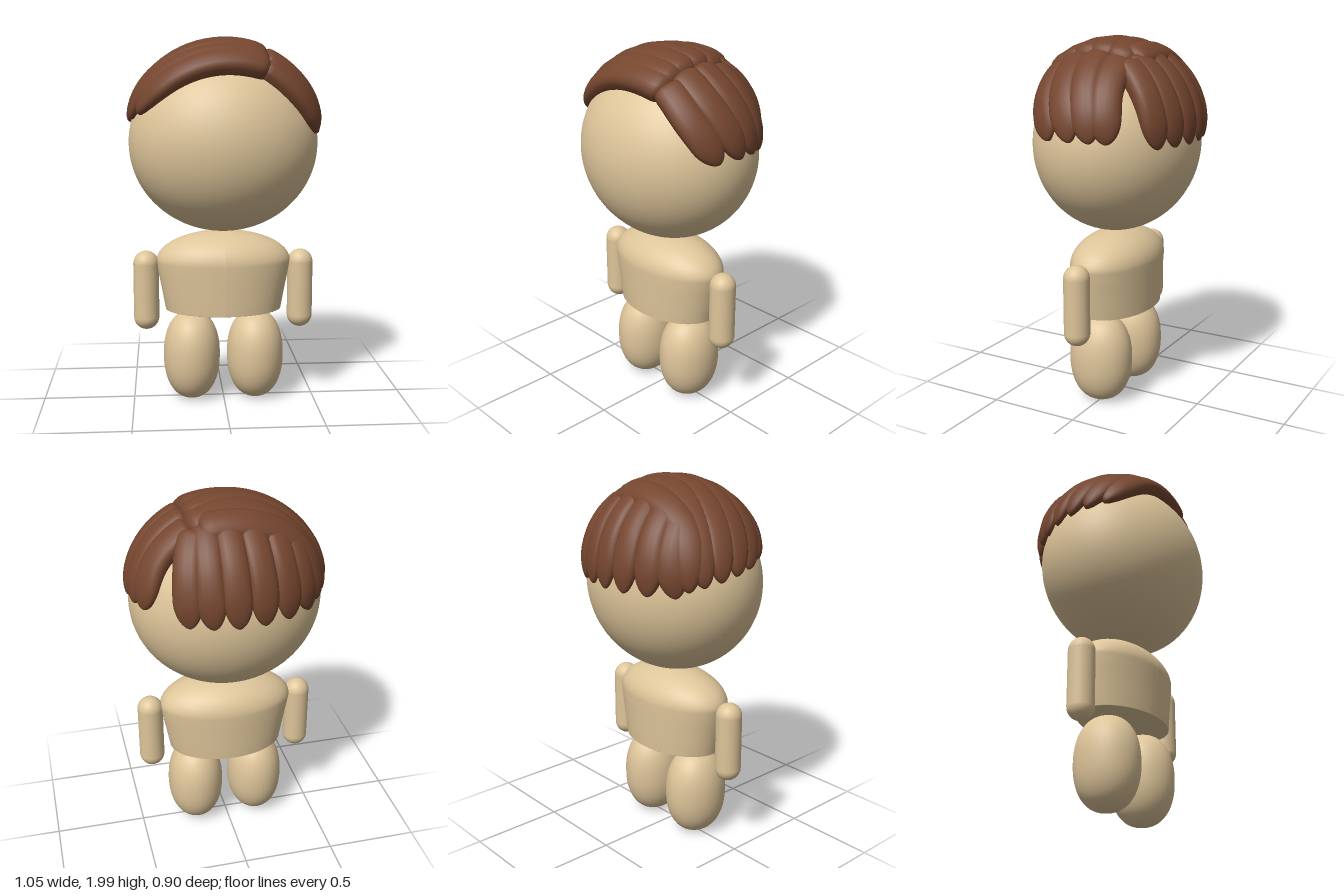
import * as THREE from 'three';

const skin = new THREE.MeshStandardMaterial({ color: 0xdec59a });
const hairMat = new THREE.MeshStandardMaterial({ color: 0x75462f });

const HEAD = new THREE.Vector3(0, 1.43, 0);
const R = new THREE.Vector3(0.51, 0.48, 0.435);

function add(parent, name, geometry, material = skin) {
  const mesh = new THREE.Mesh(geometry, material);
  mesh.name = name;
  parent.add(mesh);
  return mesh;
}

// Point on top of the head above (x, z), relative to the head centre
function crown(x, z) {
  return new THREE.Vector3(x, R.y * Math.sqrt(Math.max(0, 1 - (x / R.x) ** 2 - (z / R.z) ** 2)), z);
}
const side = (x, y, z) => new THREE.Vector3(x, y - HEAD.y, z);
const project = (p) => p.divideScalar(Math.hypot(p.x / R.x, p.y / R.y, p.z / R.z));
const normalAt = (p) => new THREE.Vector3(p.x / R.x ** 2, p.y / R.y ** 2, p.z / R.z ** 2).normalize();

// One lock of hair: a flattened oval swept along the head, blunt root, tapered tip
function lockGeometry(points, width, h0, h1) {
  const curve = new THREE.CatmullRomCurve3(points);
  const rows = 32, cols = 20, pos = [], idx = [];
  for (let i = 0; i <= rows; i++) {
    const t = (1 - Math.cos((i / rows) * Math.PI)) / 2;
    const p = project(curve.getPointAt(t));
    const a = project(curve.getPointAt(Math.max(0, t - 0.01)));
    const b = project(curve.getPointAt(Math.min(1, t + 0.01)));
    const across = b.sub(a).cross(normalAt(p)).normalize();
    const root = t < 0.08 ? Math.sqrt(1 - (1 - t / 0.08) ** 2) : 1;
    const tip = t > 0.7 ? Math.pow(Math.max(0, 1 - ((t - 0.7) / 0.3) ** 2), 0.6) : 1;
    const h = (h0 + (h1 - h0) * t * t) * root * Math.sqrt(tip);
    for (let j = 0; j < cols; j++) {
      const c = Math.cos((j / cols) * 2 * Math.PI), s = Math.sin((j / cols) * 2 * Math.PI);
      const q = project(p.clone().addScaledVector(across, width * root * tip * Math.sign(c) * Math.abs(c) ** 0.8));
      q.addScaledVector(normalAt(q), h * Math.sign(s) * Math.abs(s) ** 0.7).add(HEAD);
      pos.push(q.x, q.y, q.z);
      if (i < rows) {
        const k = (j + 1) % cols, r0 = i * cols, r1 = r0 + cols;
        idx.push(r0 + j, r1 + j, r1 + k, r0 + j, r1 + k, r0 + k);
      }
    }
  }
  const g = new THREE.BufferGeometry();
  g.setAttribute('position', new THREE.Float32BufferAttribute(pos, 3));
  g.setIndex(idx);
  g.computeVertexNormals();
  return g;
}

function buildHair() {
  const hair = new THREE.Group();
  hair.name = 'hair';

  // Long locks combed from the parting over to the right: root z, middle z, tip
  [
    [0.20, 0.225, -0.45, 1.59, 0.15],
    [0.15, 0.17, -0.48, 1.56, 0.06],
    [0.07, 0.09, -0.49, 1.54, -0.03],
    [-0.03, 0.01, -0.48, 1.52, -0.12],
    [-0.12, -0.08, -0.45, 1.5, -0.2],
  ].forEach(([z0, z1, x, y, z], i) => add(hair, 'rightSweepLock' + i,
    lockGeometry([crown(0.22, z0), crown(-0.08, z1), side(x, y, z)], 0.08, 0.085, 0.045), hairMat));

  // Raised lock wrapping from the crown to the back right
  add(hair, 'crownLock',
    lockGeometry([crown(0.18, -0.16), crown(-0.1, -0.185), crown(-0.3, -0.2), side(-0.4, 1.48, -0.26)], 0.085, 0.095, 0.05), hairMat);

  // Short locks falling from the parting to the left
  [
    [0.195, 0.20, 0.12],
    [0.1, 0.09, -0.01],
    [-0.01, -0.03, -0.11],
    [-0.12, -0.14, -0.2],
  ].forEach(([z0, z1, z], i) => add(hair, 'leftLock' + i,
    lockGeometry([crown(0.19, z0), crown(0.36, z1), side(0.49, 1.49, z)], 0.08, 0.075, 0.03), hairMat));

  // Locks hanging down the back: root x, middle x, tip x, tip z
  [
    [-0.24, -0.31, -0.35, -0.3],
    [-0.17, -0.2, -0.23, -0.38],
    [-0.07, -0.08, -0.1, -0.42],
    [0.04, 0.04, 0.03, -0.43],
    [0.13, 0.15, 0.15, -0.41],
    [0.19, 0.25, 0.26, -0.37],
  ].forEach(([x0, x1, x, z], i) => add(hair, 'backLock' + i,
    lockGeometry([crown(x0, -0.15), crown(x1, -0.29), side(x, 1.45, z)], 0.075, 0.08, 0.025), hairMat));
  return hair;
}

// Torso: widening trunk with a domed top, stretched sideways
function torsoGeometry() {
  const pts = [[0, 0.51], [0.207, 0.51], [0.21, 0.512], [0.212, 0.6], [0.215, 0.7]];
  for (let i = 0; i <= 12; i++) {
    const a = (i / 12) * Math.PI / 2;
    pts.push([0.217 * Math.cos(a), 0.78 + 0.17 * Math.sin(a)]);
  }
  const g = new THREE.LatheGeometry(pts.map(([r, y]) => new THREE.Vector2(r, y)), 56);
  const p = g.attributes.position;
  for (let i = 0; i < p.count; i++) {
    const t = Math.min(1, (p.getY(i) - 0.51) / 0.27);
    p.setX(i, p.getX(i) * (1.52 + 0.185 * t));
  }
  g.computeVertexNormals();
  return g;
}

// Leg: a slightly squared-off egg
function legGeometry() {
  const pts = [];
  for (let i = 0; i <= 28; i++) {
    const a = (i / 28) * Math.PI - Math.PI / 2;
    const s = Math.sin(a);
    pts.push(new THREE.Vector2(Math.max(0, Math.cos(a)) ** 0.85, Math.sign(s) * Math.abs(s) ** 0.9));
  }
  return new THREE.LatheGeometry(pts, 36).scale(0.157, 0.247, 0.177);
}

export function createModel() {
  const model = new THREE.Group();
  model.name = 'figure';

  const head = add(model, 'head', new THREE.SphereGeometry(1, 64, 48).scale(R.x, R.y, R.z));
  head.position.copy(HEAD);
  model.add(buildHair());
  add(model, 'torso', torsoGeometry());

  for (const s of [1, -1]) {
    const label = s > 0 ? 'left' : 'right';
    const arm = add(model, label + 'Arm', new THREE.CapsuleGeometry(0.07, 0.3, 12, 28));
    arm.position.set(s * 0.426, 0.62, 0.01);
    const leg = add(model, label + 'Leg', legGeometry());
    leg.position.set(s * 0.177, 0.25, 0.01);
  }
  return model;
}
